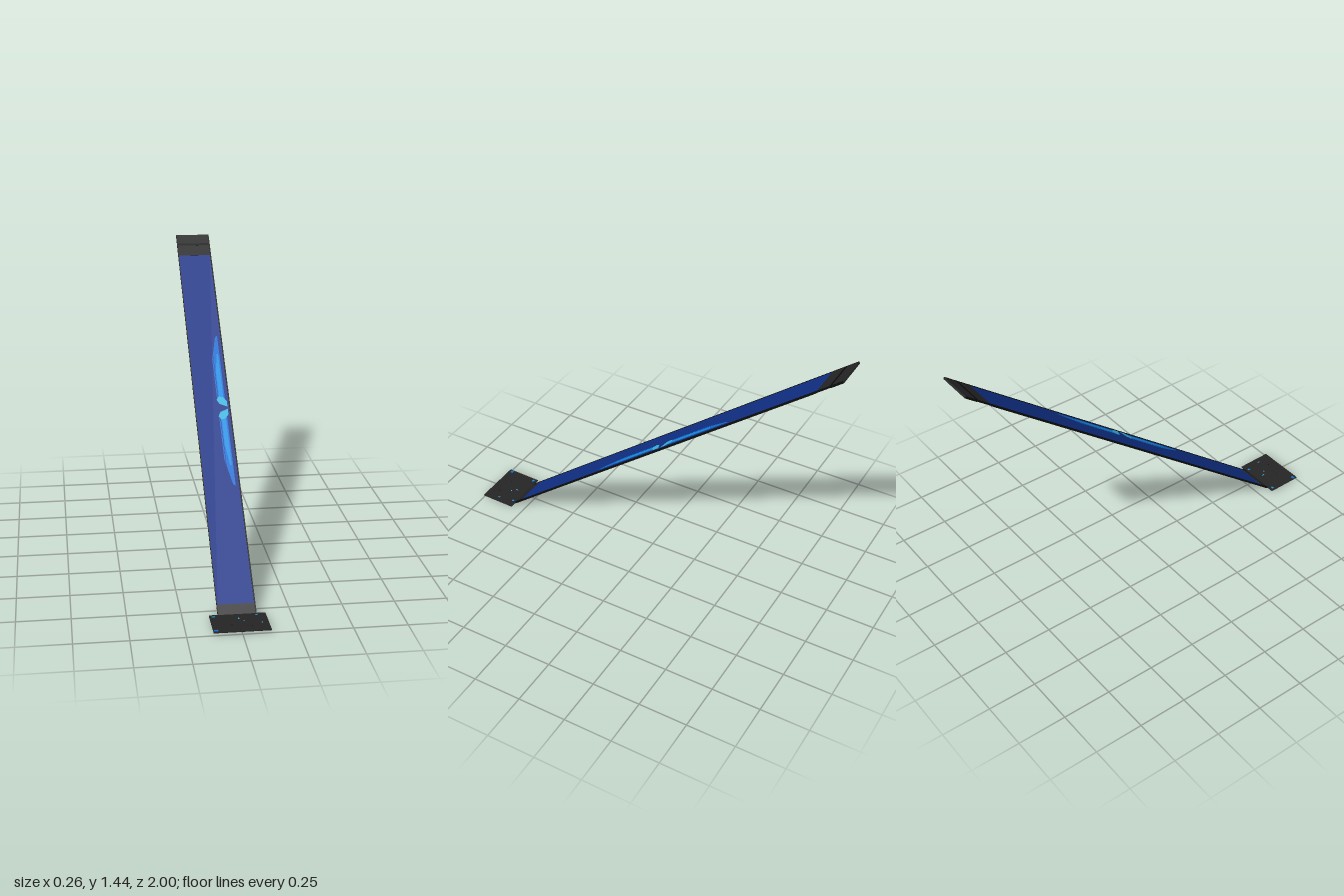
import * as THREE from 'three';

const mat = (name, color, side = THREE.FrontSide) => {
  const m = new THREE.MeshStandardMaterial({ color, side });
  m.name = name;
  return m;
};

export function createModel() {
  const charcoal = mat('charcoal', 0x252525);
  const black = mat('black', 0x0c0c0c);
  const backing = mat('backing black', 0x1c1c1c);
  const blue = mat('deep blue', 0x103088);
  const azure = mat('azure', 0x0f70d0, THREE.DoubleSide);
  const sky = mat('sky blue', 0x1590e2, THREE.DoubleSide);
  const cyan = mat('cyan', 0x38b6dc, THREE.DoubleSide);

  const model = new THREE.Group();
  model.name = 'slopedPanelWithFoot';

  // Sloped panel: local x is width, -z runs up the slope, y is the face normal
  const L = 2.313, W = 0.178;
  const panel = new THREE.Group();
  panel.name = 'slopedPanel';
  panel.position.set(0, 0.005, 0.82);
  panel.rotation.x = 0.667;
  model.add(panel);

  // Box spanning x0..x1, y0..y1 and s0..s1 up the slope
  const slab = (name, m, x0, x1, y0, y1, s0, s1) => {
    const mesh = new THREE.Mesh(new THREE.BoxGeometry(x1 - x0, y1 - y0, s1 - s0), m);
    mesh.position.set((x0 + x1) / 2, (y0 + y1) / 2, -(s0 + s1) / 2);
    mesh.name = name;
    panel.add(mesh);
  };
  const h = W / 2;
  slab('blueFace', blue, -h, h, -0.003, 0.003, 0, 2.24);
  slab('backCover', backing, -h, h, -0.005, -0.003, 0, 2.155);
  slab('lowerBand', charcoal, -h, h, 0.003, 0.0045, 0, 0.058);
  slab('upperBand', charcoal, -h, h, 0.003, 0.0045, 2.165, 2.24);
  slab('endCap', charcoal, -h, h, -0.005, 0.0045, 2.24, L);
  slab('seam', black, -h, h, 0.0045, 0.005, 2.236, 2.25);
  slab('rightRail', black, -h - 0.001, -h + 0.003, -0.003, 0.005, 0, L);
  slab('leftRail', black, h - 0.005, h + 0.001, -0.003, 0.005, 0, L);

  // Bright wing pattern, mirrored about the middle of the slope
  const mid = 1.147;
  const decal = (name, m, pts, lift) => {
    for (const sgn of [1, -1]) {
      const shape = new THREE.Shape(pts.map(([x, d]) => new THREE.Vector2(x, mid + sgn * d)));
      const mesh = new THREE.Mesh(new THREE.ShapeGeometry(shape).rotateX(-Math.PI / 2), m);
      mesh.position.y = lift;
      mesh.name = name;
      panel.add(mesh);
    }
  };
  decal('wing', azure, [[0.034, 0.05], [0.034, 0.34], [0.045, 0.4], [0.055, 0.45],
    [0.067, 0.46], [0.067, 0.05]], 0.0042);
  decal('wingEdge', azure, [[0.027, 0.05], [0.027, 0.31], [0.032, 0.335], [0.032, 0.05]], 0.0042);
  decal('wingHighlight', sky, [[0.038, 0.05], [0.038, 0.22], [0.052, 0.34], [0.06, 0.34],
    [0.06, 0.05]], 0.005);
  decal('wingFan', cyan, [[0.024, 0.05], [0.036, 0.024], [0.055, 0.016], [0.075, 0.006],
    [0.075, 0.04], [0.058, 0.065], [0.036, 0.07]], 0.0056);

  // Foot plate lying almost flat in front of the slope
  const foot = new THREE.Group();
  foot.name = 'footPlate';
  foot.position.set(0, 0.0125, 0.908);
  foot.rotation.x = -0.025;
  model.add(foot);
  const plate = new THREE.Mesh(new THREE.BoxGeometry(0.26, 0.004, 0.184), charcoal);
  plate.name = 'plate';
  foot.add(plate);

  // Small coloured marks on the plate: x, z, width, depth, material
  const marks = [
    [-0.112, -0.073, 0.014, 0.010, sky], [0.086, -0.073, 0.010, 0.012, sky],
    [-0.117, 0.073, 0.018, 0.014, azure], [0.0, -0.042, 0.005, 0.012, cyan],
    [0.022, -0.018, 0.006, 0.006, cyan], [0.1, 0.01, 0.005, 0.012, cyan],
    [-0.04, 0.025, 0.005, 0.005, black], [0.05, 0.04, 0.006, 0.005, black],
  ];
  for (const [x, z, w, d, m] of marks) {
    const mark = new THREE.Mesh(new THREE.BoxGeometry(w, 0.001, d), m);
    mark.position.set(x, 0.0025, z);
    mark.name = 'plateMark';
    foot.add(mark);
  }
  return model;
}
